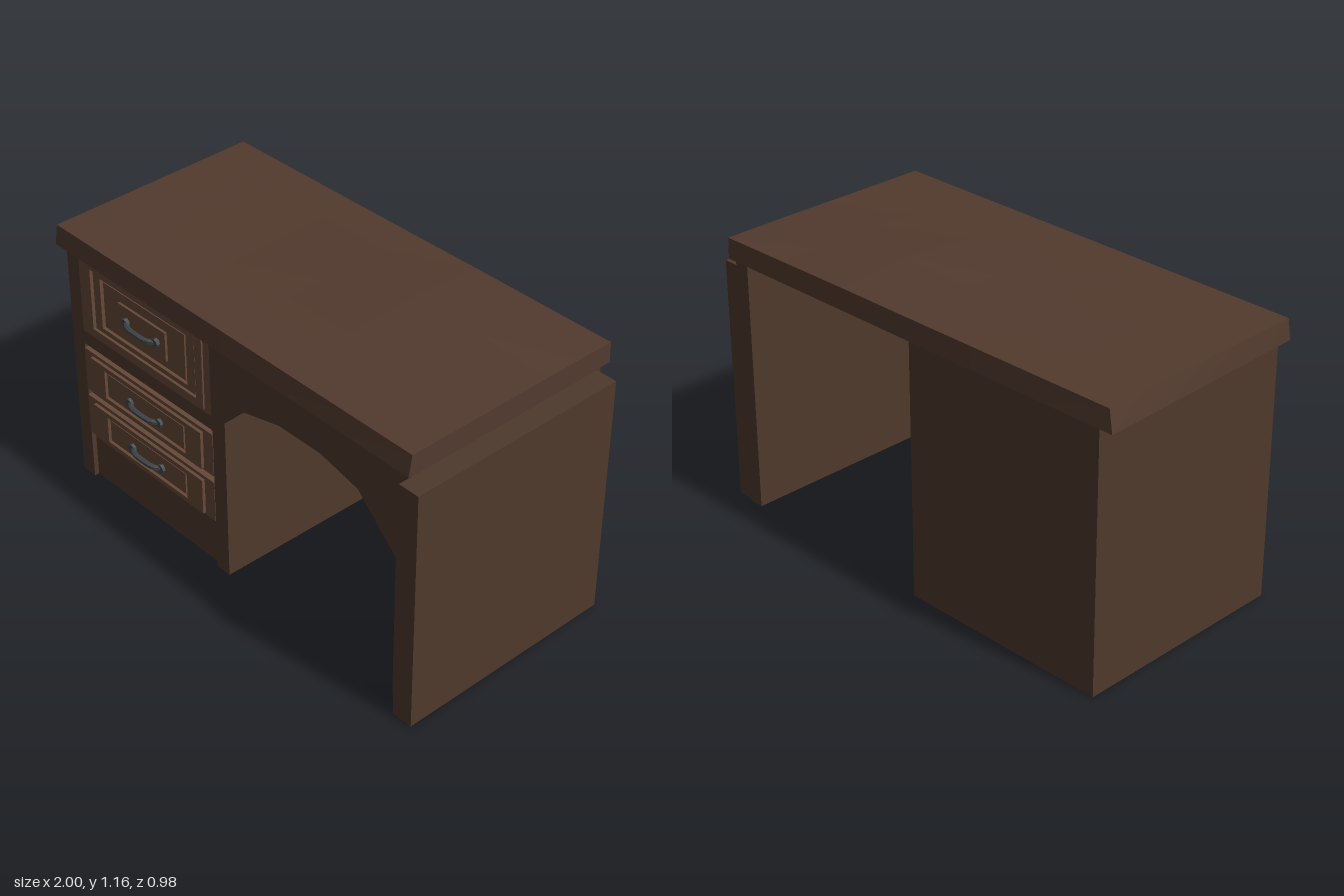
import * as THREE from 'three';

const mat = (color) => new THREE.MeshStandardMaterial({ color, flatShading: true });

export function createModel() {
  const desk = new THREE.Group();
  desk.name = 'desk';
  const wood = mat(0x4e392c);
  const topWood = mat(0x523a2e);
  const drawerWood = mat(0x664838);
  const metal = mat(0x3f4649);

  const add = (parent, name, geometry, material) => {
    const mesh = new THREE.Mesh(geometry, material);
    mesh.name = name;
    parent.add(mesh);
    return mesh;
  };
  // Box given by its limits on each axis
  const box = (parent, name, [x0, x1], [y0, y1], [z0, z1], material = wood) => {
    const g = new THREE.BoxGeometry(x1 - x0, y1 - y0, z1 - z0);
    g.translate((x0 + x1) / 2, (y0 + y1) / 2, (z0 + z1) / 2);
    return add(parent, name, g, material);
  };
  const rect = (Type, [x0, x1], [y0, y1]) => new Type([
    new THREE.Vector2(x0, y0), new THREE.Vector2(x1, y0),
    new THREE.Vector2(x1, y1), new THREE.Vector2(x0, y1),
  ]);
  // Rectangular moulding around an opening
  const frame = (parent, name, outX, outY, inX, inY, [z0, z1]) => {
    const shape = rect(THREE.Shape, outX, outY);
    shape.holes.push(rect(THREE.Path, inX, inY));
    const g = new THREE.ExtrudeGeometry(shape, { depth: z1 - z0, bevelEnabled: false });
    g.translate(0, 0, z0);
    add(parent, name, g, drawerWood);
  };

  // Drawer cabinet, hollow below the bottom drawer
  const cabinet = new THREE.Group();
  cabinet.name = 'cabinet';
  desk.add(cabinet);
  box(cabinet, 'leftWall', [-0.94, -0.87], [0, 1.05], [-0.48, 0.43]);
  box(cabinet, 'rightWall', [-0.11, -0.04], [0, 1.05], [-0.48, 0.43]);
  box(cabinet, 'carcass', [-0.87, -0.11], [0.2, 1.05], [-0.46, 0.4]);
  box(cabinet, 'backPanel', [-0.87, -0.11], [0, 1.05], [-0.48, -0.46]);
  box(cabinet, 'basePanel', [-0.87, -0.11], [0, 0.22], [0.37, 0.41]);
  box(cabinet, 'upperRail', [-0.87, -0.11], [0.64, 0.7], [0.39, 0.43]);

  // Curved pull with a collar at each end
  const handle = (parent, y, z) => {
    const pull = new THREE.Group();
    pull.name = 'handle';
    pull.position.set(-0.495, y, z);
    parent.add(pull);
    const path = new THREE.CatmullRomCurve3([
      [-0.09, 0, 0], [-0.06, -0.002, 0.022], [0, -0.002, 0.028], [0.06, -0.002, 0.022], [0.09, 0, 0],
    ].map((p) => new THREE.Vector3(...p)));
    add(pull, 'grip', new THREE.TubeGeometry(path, 12, 0.011, 6), metal);
    for (const s of [-1, 1]) {
      const collar = add(pull, 'collar', new THREE.CylinderGeometry(0.018, 0.018, 0.018, 8), metal);
      collar.rotation.x = Math.PI / 2;
      collar.position.set(s * 0.088, 0, 0.006);
    }
  };

  // Top drawer: nested mouldings around a raised centre
  const upper = new THREE.Group();
  upper.name = 'upperDrawer';
  cabinet.add(upper);
  frame(upper, 'outerFrame', [-0.87, -0.11], [0.7, 1.05], [-0.835, -0.15], [0.715, 1.035], [0.4, 0.43]);
  frame(upper, 'middleFrame', [-0.835, -0.15], [0.715, 1.035], [-0.795, -0.19], [0.745, 1.01], [0.4, 0.437]);
  frame(upper, 'innerFrame', [-0.785, -0.2], [0.75, 1.005], [-0.745, -0.245], [0.77, 0.99], [0.4, 0.43]);
  box(upper, 'field', [-0.795, -0.19], [0.745, 1.01], [0.4, 0.415], drawerWood);
  box(upper, 'bevel', [-0.73, -0.26], [0.78, 0.98], [0.4, 0.425], drawerWood);
  box(upper, 'centre', [-0.635, -0.36], [0.815, 0.94], [0.4, 0.435], drawerWood);
  handle(upper, 0.88, 0.435);

  // Two lower drawers with a raised panel
  for (const [y0, y1] of [[0.43, 0.62], [0.22, 0.4]]) {
    const drawer = new THREE.Group();
    drawer.name = 'lowerDrawer';
    cabinet.add(drawer);
    box(drawer, 'ledge', [-0.87, -0.11], [y0, y1], [0.39, 0.432], drawerWood);
    frame(drawer, 'frame', [-0.82, -0.165], [y0 + 0.01, y1 - 0.015],
      [-0.735, -0.255], [y0 + 0.03, y1 - 0.035], [0.42, 0.445]);
    box(drawer, 'panel', [-0.72, -0.27], [y0 + 0.04, y1 - 0.045], [0.42, 0.44], drawerWood);
    handle(drawer, (y0 + y1) / 2 - 0.005, 0.438);
  }

  // Arched apron over the knee space
  const arch = new THREE.Shape([
    [-0.11, 1.05], [-0.11, 0.64], [0.07, 0.82], [0.26, 0.865], [0.47, 0.865],
    [0.66, 0.82], [0.845, 0.64], [0.91, 0.64], [0.91, 1.05],
  ].map((p) => new THREE.Vector2(...p)));
  const apron = new THREE.ExtrudeGeometry(arch, { depth: 0.03, bevelEnabled: false });
  add(desk, 'apron', apron.translate(0, 0, 0.404), wood);

  // Far end support
  box(desk, 'innerPost', [0.845, 0.91], [0.01, 1.05], [-0.48, 0.43]);
  box(desk, 'endPanel', [0.91, 1], [0, 1.015], [-0.46, 0.49]);

  // Warped worktop with sloping edges
  const slab = new THREE.BoxGeometry(1, 1, 1, 6, 1, 6);
  const pos = slab.attributes.position;
  for (let i = 0; i < pos.count; i++) {
    const u = pos.getX(i) + 0.5;
    const w = pos.getZ(i) + 0.5;
    const isTop = pos.getY(i) > 0;
    const left = isTop ? -0.977 + 0.015 * w : -1 + 0.03 * w;
    const back = isTop ? -0.475 - 0.012 * u : -0.485 - 0.005 * u;
    const front = isTop ? 0.45 + 0.012 * u : 0.457 + 0.02 * u;
    const x = THREE.MathUtils.lerp(left, 0.94, u);
    const z = THREE.MathUtils.lerp(back, front, w);
    const bump = 0.022 * Math.exp(-(((x - 0.37) / 0.35) ** 2) - ((z + 0.17) / 0.2) ** 2);
    pos.setXYZ(i, x, isTop ? 1.134 + bump : 1.05, z);
  }
  add(desk, 'worktop', slab, topWood);

  return desk;
}
